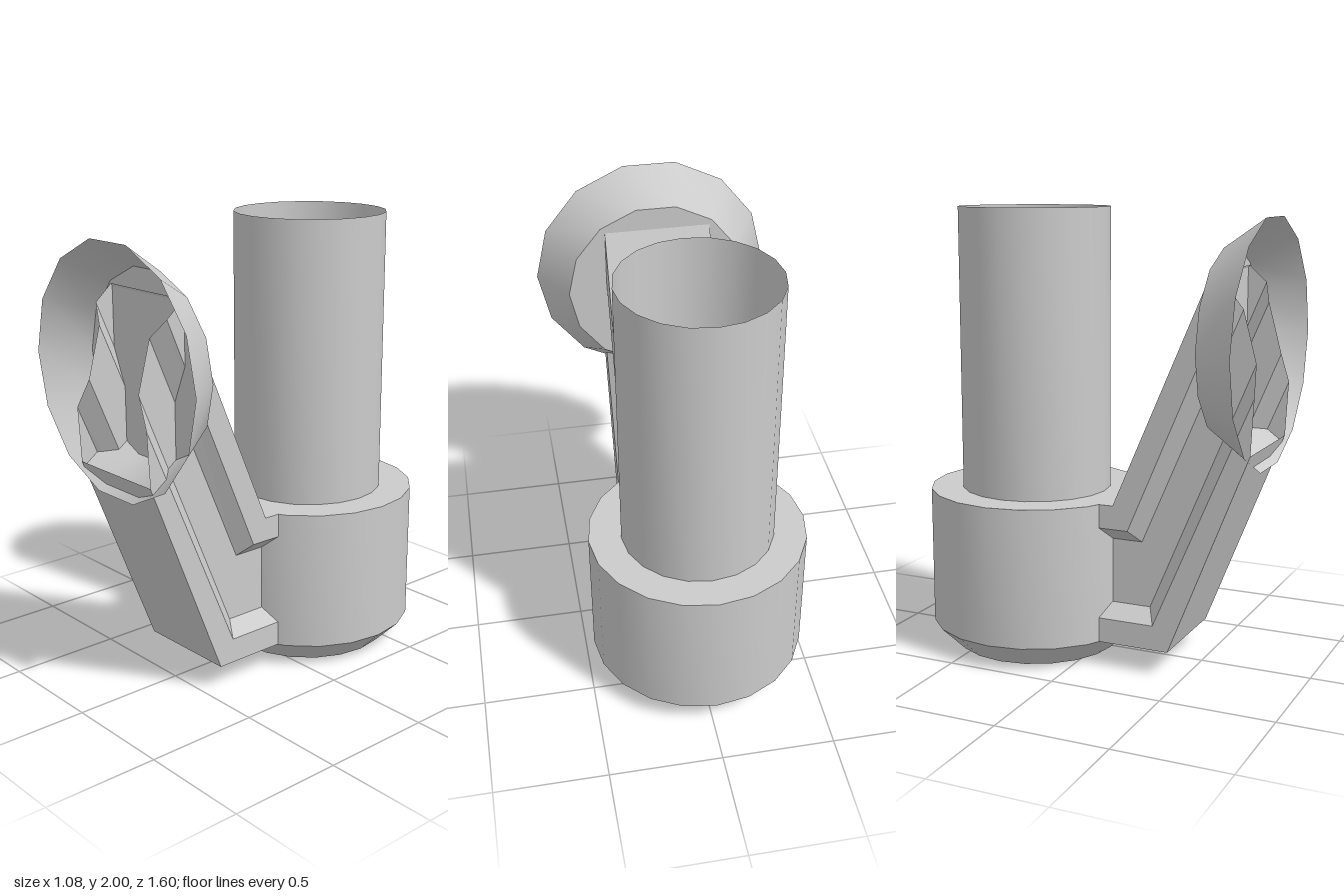
import * as THREE from 'three';
import { toCreasedNormals } from 'three/addons/utils/BufferGeometryUtils.js';

const material = new THREE.MeshStandardMaterial({ color: 0xcccccc, side: THREE.DoubleSide });

function addMesh(group, name, geometry) {
  const mesh = new THREE.Mesh(geometry, material);
  mesh.name = name;
  group.add(mesh);
  return mesh;
}

// Faceted turned part; profile points are [radius, height]
function turned(profile, sides, start = 0) {
  const points = profile.map(([r, h]) => new THREE.Vector2(r, h));
  return toCreasedNormals(new THREE.LatheGeometry(points, sides, start), 0.6);
}

// Hollow bent beam with a sloped recess along each side
function beamGeometry() {
  // Rails from bottom to top: half width, then [z, y] at root, elbow and tip
  const rails = [
    [0.24, [0.08, 0.11], [0.43, 0.11], [0.785, 1.01]],
    [0.24, [0.08, 0.22], [0.36, 0.22], [0.797, 1.25]],
    [0.17, [0.08, 0.28], [0.32, 0.28], [0.78, 1.38]],
    [0.17, [0.08, 0.57], [0.28, 0.57], [0.72, 1.6]],
    [0.24, [0.08, 0.63], [0.24, 0.63], [0.685, 1.68]],
    [0.24, [0.08, 0.735], [0.17, 0.735], [0.605, 1.75]],
  ];
  const sections = [1, 2, 3].map((s) => {
    const side = (sign) => rails.map((r) => [sign * r[0] - 0.005, r[s][1], r[s][0]]);
    return [...side(1), ...side(-1).reverse()];
  });
  const count = sections[0].length;
  const positions = [];
  for (let s = 0; s < 2; s++) {
    for (let i = 0; i < count; i++) {
      const j = (i + 1) % count;
      const a = sections[s][i], b = sections[s][j];
      const c = sections[s + 1][j], d = sections[s + 1][i];
      positions.push(...a, ...b, ...c, ...a, ...c, ...d);
    }
  }
  const geometry = new THREE.BufferGeometry();
  geometry.setAttribute('position', new THREE.Float32BufferAttribute(positions, 3));
  geometry.computeVertexNormals();
  return geometry;
}

export function createModel() {
  const model = new THREE.Group();
  model.name = 'model';

  // Chamfered base with a narrower open tube rising from it
  const body = addMesh(model, 'baseAndTube', turned([
    [0, 0], [0.375, 0], [0.485, 0.11], [0.485, 0.735], [0.34, 0.735], [0.34, 2],
  ], 20));
  body.position.set(-0.015, 0, -0.315);

  // Slanted support arm
  addMesh(model, 'arm', beamGeometry());

  // Flared dish facing forward
  const dish = addMesh(model, 'dish', turned([[0, 0], [0.41, 0], [0.54, 0.19]], 14, Math.PI / 2));
  dish.rotation.x = Math.PI / 2;
  dish.position.set(0, 1.44, 0.6);

  return model;
}
